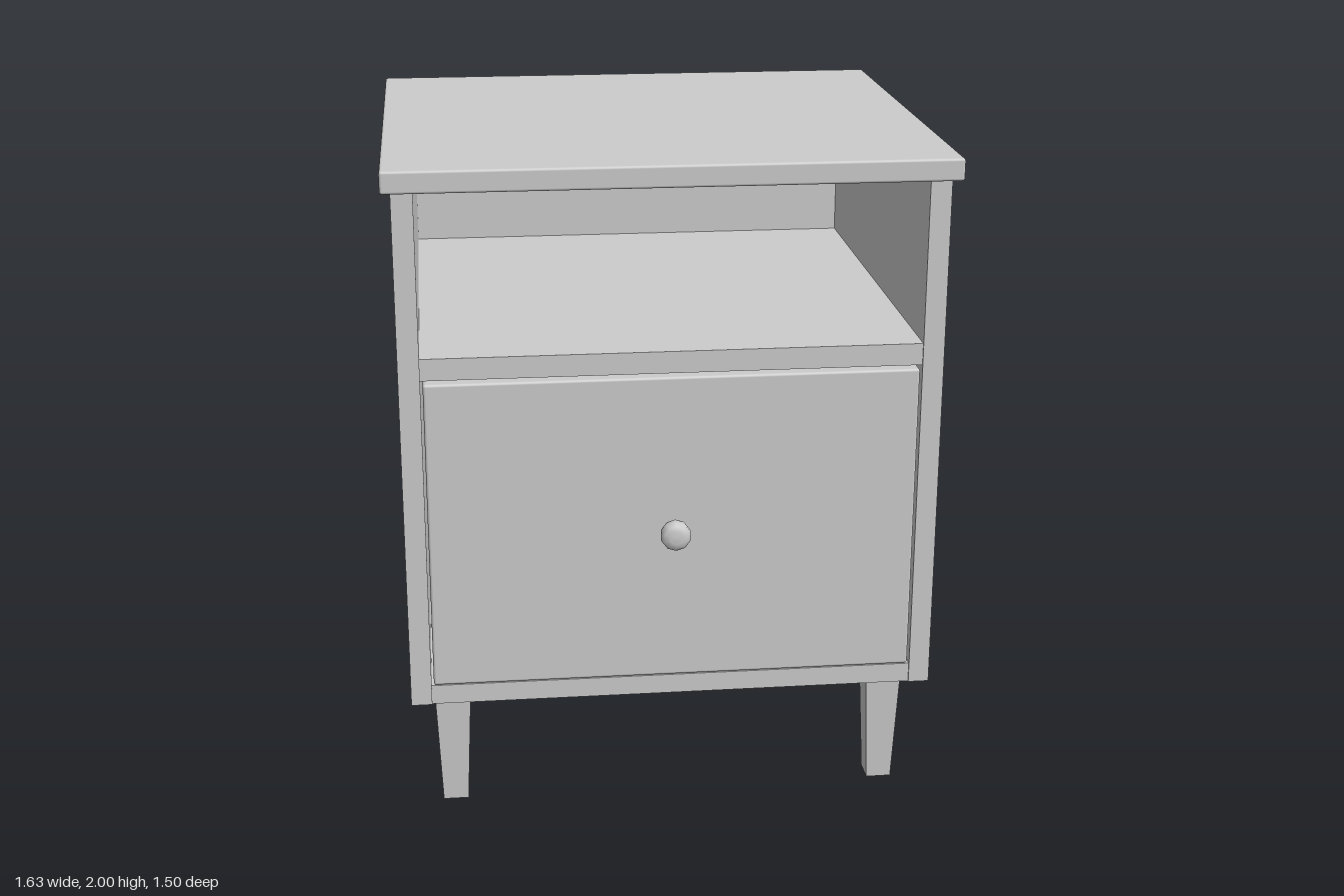
import * as THREE from 'three';
import { RoundedBoxGeometry } from 'three/addons/geometries/RoundedBoxGeometry.js';

const grey = new THREE.MeshStandardMaterial({ color: 0xcccccc, side: THREE.DoubleSide });
grey.name = 'plain grey';

export function createModel() {
  const model = new THREE.Group();
  model.name = 'bedsideCabinet';

  const add = (name, geometry, x = 0, y = 0, z = 0) => {
    const mesh = new THREE.Mesh(geometry, grey);
    mesh.name = name;
    mesh.position.set(x, y, z);
    model.add(mesh);
    return mesh;
  };

  // Box given by its limits; a radius softens the edges
  const panel = (name, [x0, x1], [y0, y1], [z0, z1], radius = 0) => {
    const size = [x1 - x0, y1 - y0, z1 - z0];
    const geometry = radius
      ? new RoundedBoxGeometry(...size, 2, radius)
      : new THREE.BoxGeometry(...size);
    return add(name, geometry, (x0 + x1) / 2, (y0 + y1) / 2, (z0 + z1) / 2);
  };

  // Carcass
  panel('tabletop', [-0.815, 0.815], [1.935, 2], [-0.75, 0.7], 0.008);
  panel('leftSide', [0.725, 0.787], [0.37, 1.935], [-0.735, 0.67]);
  panel('rightSide', [-0.787, -0.725], [0.37, 1.935], [-0.735, 0.67]);
  panel('shelf', [-0.725, 0.725], [1.387, 1.452], [-0.7, 0.665]);
  panel('bottomPanel', [-0.725, 0.725], [0.37, 0.43], [-0.73, 0.665]);
  panel('backPanel', [-0.725, 0.725], [0.43, 1.935], [-0.72, -0.7]);

  // Drawer front
  panel('drawerFront', [-0.718, 0.718], [0.434, 1.377], [0.61, 0.673], 0.008);

  // Knob turned around the z axis
  const profile = [
    [0.026, 0], [0.026, 0.01], [0.034, 0.022], [0.043, 0.036], [0.045, 0.05],
    [0.044, 0.065], [0.036, 0.075], [0.02, 0.079], [0, 0.08],
  ].map(([r, h]) => new THREE.Vector2(r, h));
  add('knob', new THREE.LatheGeometry(profile, 10).rotateX(Math.PI / 2), 0, 0.908, 0.67);

  // Square tapered legs, open at the ends
  const leg = new THREE.CylinderGeometry(0.054 * Math.SQRT2, 0.038 * Math.SQRT2, 0.37, 4, 1, true)
    .rotateY(Math.PI / 4)
    .toNonIndexed();
  leg.computeVertexNormals();
  for (const [side, sx] of [['Left', 1], ['Right', -1]]) {
    add(`front${side}Leg`, leg, sx * 0.663, 0.185, 0.545);
    add(`back${side}Leg`, leg, sx * 0.663, 0.185, -0.61);
  }

  return model;
}
